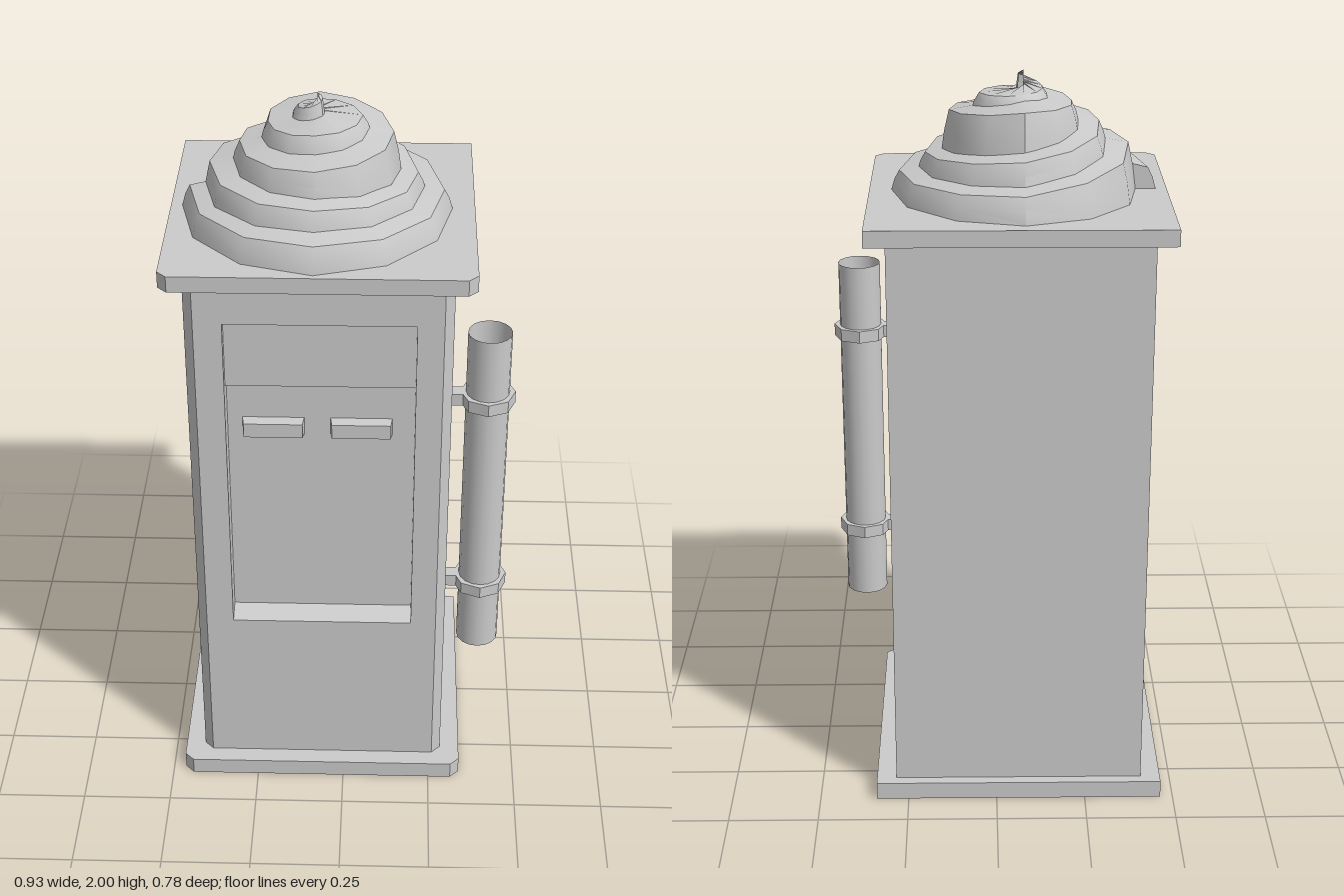
import * as THREE from 'three';
import { toCreasedNormals } from 'three/addons/utils/BufferGeometryUtils.js';

const grey = new THREE.MeshStandardMaterial({ color: 0xcccccc });
const greyDouble = new THREE.MeshStandardMaterial({ color: 0xcccccc, side: THREE.DoubleSide });

function add(parent, name, geometry, material = grey) {
  const mesh = new THREE.Mesh(geometry, material);
  mesh.name = name;
  parent.add(mesh);
  return mesh;
}

// Extrude a plan outline of [x, z] points from y0 up to y1
function prism(points, y0, y1) {
  const shape = new THREE.Shape(points.map(([x, z]) => new THREE.Vector2(x, -z)));
  return new THREE.ExtrudeGeometry(shape, { depth: y1 - y0, bevelEnabled: false })
    .rotateX(-Math.PI / 2).translate(0, y0, 0);
}

// Extrude a side profile of [z, y] points from x0 to x1
function sideProfile(points, x0, x1) {
  const shape = new THREE.Shape(points.map(([z, y]) => new THREE.Vector2(-z, y)));
  return new THREE.ExtrudeGeometry(shape, { depth: x1 - x0, bevelEnabled: false })
    .rotateY(Math.PI / 2).translate(x0, 0, 0);
}

// Rectangle with both front corners cut; an optional notch opens in the front edge
function plan(x0, x1, z0, z1, cut, notch = []) {
  return [[x0, z0], [x1, z0], [x1, z1 - cut], [x1 - cut, z1], ...notch,
    [x0 + cut, z1], [x0, z1 - cut]];
}

// Value at t quarter turns, eased linearly between table entries
function sample(table, t) {
  const i = Math.max(0, Math.min(Math.floor(t), table.length - 2));
  return THREE.MathUtils.lerp(table[i], table[i + 1], Math.min(1, Math.max(0, t - i)));
}

// Coiled ribbon: a leaning outer wall and a ledge running under the next coil
function swirlGeometry(base) {
  const radii = [0.36, 0.375, 0.355, 0.355, 0.305, 0.30, 0.285, 0.28, 0.225, 0.235,
    0.22, 0.20, 0.15, 0.14, 0.14, 0.10, 0.07, 0.04, 0.015];
  const tops = [1.74, 1.75, 1.735, 1.75, 1.81, 1.81, 1.785, 1.82, 1.87, 1.885,
    1.90, 1.93, 1.925, 1.94, 1.945, 1.955, 1.965, 1.985, 2.0];
  const perQuarter = 3;
  const steps = (radii.length - 1) * perQuarter;
  const pos = [], index = [];
  for (let i = 0; i <= steps; i++) {
    const t = i / perQuarter;
    const a = t * Math.PI / 2;
    const r = sample(radii, t), top = sample(tops, t);
    const low = t <= 4 ? base : sample(tops, t - 4) - 0.012;
    const next = t + 4 < radii.length - 1 ? sample(radii, t + 4) - 0.025 : 0;
    const lean = Math.min(0.022, r * 0.3);
    const section = [[r, low], [r - lean * 0.4, (low + top) / 2], [r - lean, top - 0.006],
      [Math.max(0, Math.min(next, r - lean)), Math.min(top + 0.008, 2)]];
    for (const [d, y] of section) pos.push(-0.075 - Math.cos(a) * d, y, Math.sin(a) * d);
    if (i === steps) break;
    for (let k = 0; k < 3; k++) {
      const p = i * 4 + k, q = p + 4;
      index.push(p, q, p + 1, q, q + 1, p + 1);
    }
  }
  // Flat end where the coil starts
  const n = pos.length / 3;
  pos.push(pos[9], base, pos[11]);
  index.push(n, 0, 1, n, 1, 2, n, 2, 3);
  const geo = new THREE.BufferGeometry();
  geo.setAttribute('position', new THREE.Float32BufferAttribute(pos, 3));
  geo.setIndex(index);
  return toCreasedNormals(geo, 0.6);
}

export function createModel() {
  const model = new THREE.Group();
  model.name = 'kiosk';

  // Base and roof slabs
  const slab = plan(-0.465, 0.34, -0.395, 0.39, 0.025);
  add(model, 'baseSlab', prism(slab, 0, 0.05));
  add(model, 'roofSlab', prism(slab, 1.63, 1.675));

  // Cabinet in three stages, the middle one notched for the recess
  const x0 = -0.31, x1 = 0.19, front = 0.34, back = 0.28;
  const notch = [[x1, front], [x1, back], [x0, back], [x0, front]];
  const body = (n) => plan(-0.41, 0.285, -0.365, front, 0.025, n);
  add(model, 'cabinetLower', prism(body(), 0.05, 0.54));
  add(model, 'cabinetMiddle', prism(body(notch), 0.54, 1.51));
  add(model, 'cabinetUpper', prism(body(), 1.51, 1.63));

  // Recess fittings: raised header panel and sloping sill
  add(model, 'headerPanel',
    sideProfile([[back, 1.29], [0.312, 1.308], [0.312, 1.51], [back, 1.51]], x0, x1));
  add(model, 'sill', sideProfile([[back, 0.54], [front, 0.54], [back, 0.556]], x0, x1));

  // Two slot plates with slightly tapered faces
  for (const x of [-0.1875, 0.0475]) {
    const geo = new THREE.BoxGeometry(0.165, 0.05, 0.03);
    const p = geo.attributes.position;
    for (let i = 0; i < p.count; i++) {
      if (p.getZ(i) > 0) p.setXY(i, p.getX(i) * 0.95, p.getY(i) * 0.84);
    }
    geo.computeVertexNormals();
    add(model, 'slotPlate', geo).position.set(x, 1.165, back + 0.015);
  }

  // Side tube held by two clamps
  const holder = new THREE.Group();
  holder.name = 'tubeHolder';
  holder.position.set(0.385, 0, 0.19);
  model.add(holder);
  add(holder, 'tube', new THREE.CylinderGeometry(0.059, 0.059, 1.025, 16, 1, true), greyDouble)
    .position.y = 0.8975;
  const octagon = (r) => Array.from({ length: 8 }, (_, i) =>
    new THREE.Vector2(r * Math.cos(i * Math.PI / 4), r * Math.sin(i * Math.PI / 4)));
  const ring = new THREE.Shape(octagon(0.075));
  ring.holes.push(new THREE.Path(octagon(0.058)));
  for (const y of [0.575, 1.19]) {
    const geo = new THREE.ExtrudeGeometry(ring, { depth: 0.035, bevelEnabled: false });
    add(holder, 'clampRing', geo.rotateX(-Math.PI / 2)).position.y = y;
    add(holder, 'clampBracket', new THREE.BoxGeometry(0.04, 0.035, 0.04))
      .position.set(-0.082, y + 0.0175, 0);
  }

  // Swirled topping
  add(model, 'swirl', swirlGeometry(1.675), greyDouble);
  return model;
}
